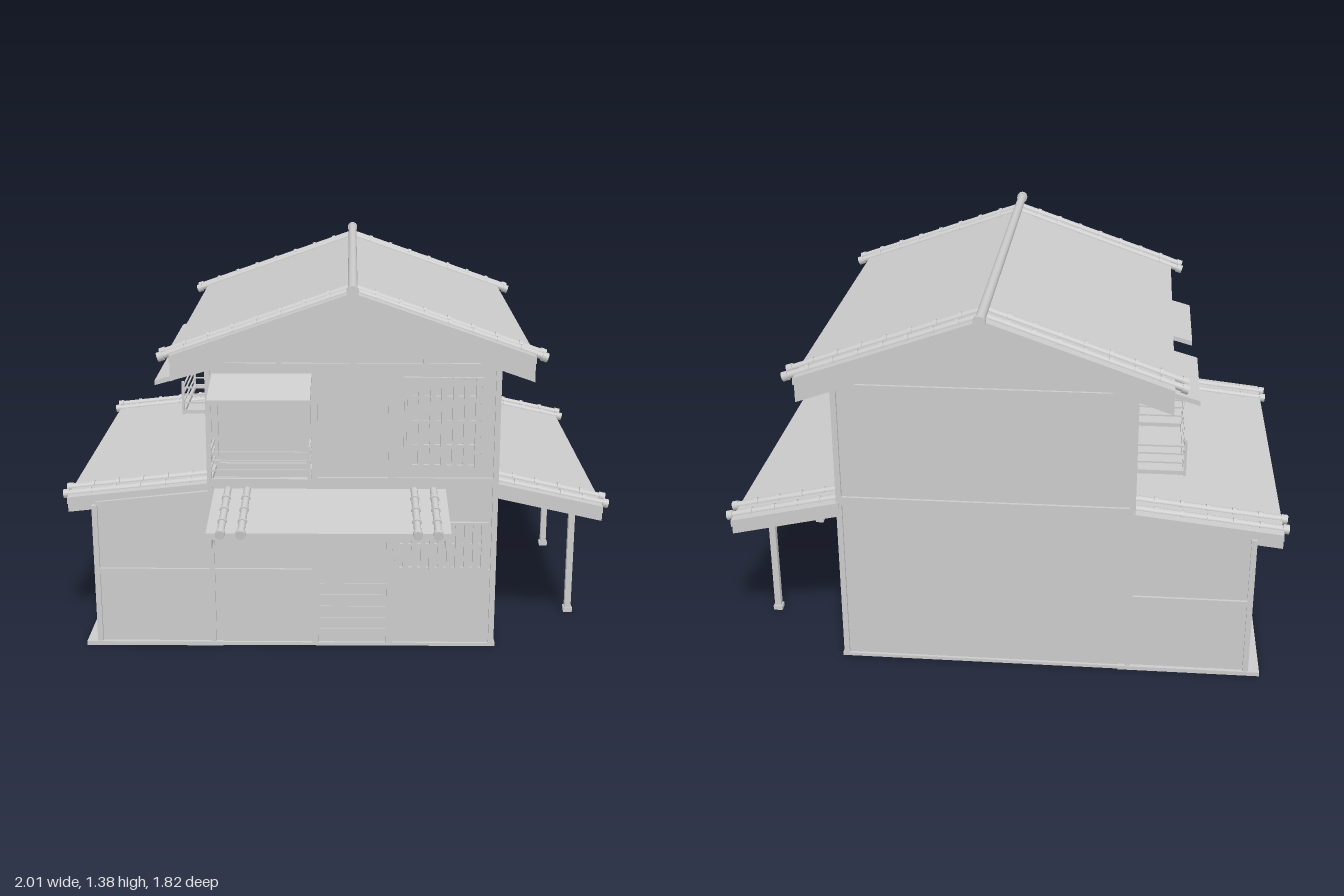
import * as THREE from 'three';

const mat = new THREE.MeshStandardMaterial({ color: 0xcccccc });

function add(parent, name, geo, x = 0, y = 0, z = 0) {
  const m = new THREE.Mesh(geo, mat);
  m.name = name;
  m.position.set(x, y, z);
  parent.add(m);
  return m;
}

// Box given by its min and max corners
function block(parent, name, x0, x1, y0, y1, z0, z1) {
  return add(parent, name, new THREE.BoxGeometry(x1 - x0, y1 - y0, z1 - z0),
    (x0 + x1) / 2, (y0 + y1) / 2, (z0 + z1) / 2);
}

// Outline in x/y extruded along z
function prism(parent, name, pts, z0, z1) {
  const shape = new THREE.Shape(pts.map(p => new THREE.Vector2(p[0], p[1])));
  return add(parent, name, new THREE.ExtrudeGeometry(shape, { depth: z1 - z0, bevelEnabled: false }), 0, 0, z0);
}

function slab(parent, name, run, drop, top, thick, z0, z1) {
  return prism(parent, name, [[0, top - thick], [run, top - thick - drop], [run, top - drop], [0, top]], z0, z1);
}

// Group turned so its local +z points out of a wall
function turned(parent, name, angle, x, y, z) {
  const g = new THREE.Group();
  g.name = name;
  g.rotation.y = angle;
  g.position.set(x, y, z);
  parent.add(g);
  return g;
}

// Roof pitch falling along local +x, with bargeboards and rows of round tiles
function roofPitch(parent, name, angle, pos, o) {
  const g = turned(parent, name, angle, ...pos);
  const { run, drop, width, rows, barge, inset = 0.015, over = 0.03, radius = 0.013 } = o;
  const h = width / 2;
  slab(g, 'roofSlab', run, drop, 0, 0.025, -h, h);
  for (const s of [-1, 1]) {
    const e = s * (h - inset), i = e - s * 0.02;
    slab(g, 'bargeboard', run, drop, -0.025, barge, Math.min(e, i), Math.max(e, i));
  }
  const slope = Math.atan2(drop, run);
  const length = (run + over) / Math.cos(slope);
  const n = Math.max(3, Math.round(length / 0.09));
  for (const z of rows) {
    const row = new THREE.Group();
    row.name = 'tileRow';
    row.position.z = z;
    row.rotation.z = -slope;
    g.add(row);
    add(row, 'roundTile', new THREE.CylinderGeometry(radius, radius, length, 12), length / 2).rotation.z = Math.PI / 2;
    for (let k = 1; k <= n; k++) {
      const w = k === n ? 0.022 : 0.012;
      add(row, 'tileCollar', new THREE.CylinderGeometry(radius + 0.004, radius + 0.004, w, 12),
        k * length / n - w / 2).rotation.z = Math.PI / 2;
    }
  }
  return g;
}

function frame(g, x0, x1, y0, y1, w = 0.015, d = 0.012) {
  block(g, 'frameSide', x0, x0 + w, y0, y1, 0, d);
  block(g, 'frameSide', x1 - w, x1, y0, y1, 0, d);
  block(g, 'frameBottom', x0, x1, y0, y0 + w, 0, d);
  block(g, 'frameTop', x0, x1, y1 - w, y1, 0, d);
}

function lattice(g, x0, x1, y0, y1, bars, rails) {
  frame(g, x0, x1, y0, y1, 0.01);
  const step = (x1 - x0) / bars;
  for (let i = 0; i < bars; i++) {
    const c = x0 + step * (i + 0.5);
    block(g, 'latticeBar', c - 0.01, c + 0.01, y0, y1, 0, 0.014);
  }
  for (const y of rails) block(g, 'latticeRail', x0, x1, y - 0.006, y + 0.006, 0, 0.009);
}

// Railing standing out from a wall
function balcony(g, x0, x1, depth) {
  for (const x of [x0, x1]) {
    block(g, 'railingPost', x - 0.005, x + 0.005, 0.69, 0.83, depth - 0.01, depth);
    for (const y of [0.805, 0.775, 0.74]) block(g, 'sideRail', x - 0.003, x + 0.003, y - 0.003, y + 0.003, 0, depth);
    block(g, 'sideBase', x - 0.006, x + 0.006, 0.695, 0.71, 0, depth);
  }
  for (const y of [0.805, 0.775, 0.74]) block(g, 'frontRail', x0, x1, y - 0.003, y + 0.003, depth - 0.008, depth - 0.002);
  block(g, 'frontBase', x0, x1, 0.695, 0.71, depth - 0.012, depth);
}

function awning(g, x0, x1, run, drop) {
  const a = turned(g, 'awning', -Math.PI / 2, (x0 + x1) / 2, 1.045, 0);
  slab(a, 'awningBoard', run, drop, 0, 0.018, -(x1 - x0) / 2, (x1 - x0) / 2);
}

export function createModel() {
  const house = new THREE.Group();
  house.name = 'house';

  // Main body with gables, and the lower side wing
  prism(house, 'mainBody', [[-0.45, 0], [0.58, 0], [0.58, 1.13], [0.06, 1.315], [-0.45, 1.135]], -0.79, 0.56);
  prism(house, 'sideWing', [[-0.88, 0], [-0.45, 0], [-0.45, 0.605], [-0.88, 0.56]], -0.79, 0.56);
  block(house, 'wingSill', -0.93, -0.42, 0, 0.015, -0.805, 0.575);
  block(house, 'mainSill', -0.46, 0.595, 0, 0.012, -0.8, 0.57);
  for (const z of [-0.79, 0.56]) {
    for (const x of [-0.455, 0.58]) block(house, 'cornerPost', x - 0.01, x + 0.01, 0, 1.1, z - 0.01, z + 0.01);
    block(house, 'wingPost', -0.89, -0.87, 0, 0.55, z - 0.01, z + 0.01);
  }

  // Main roof and ridge pole
  const main = { run: 0.64, drop: 0.224, width: 1.5, rows: [0.695, 0.63, -0.63, -0.7], barge: 0.07, inset: 0.02, over: 0.045 };
  roofPitch(house, 'mainRoofLeft', 0, [0.06, 1.35, -0.11], main);
  roofPitch(house, 'mainRoofRight', Math.PI, [0.06, 1.35, -0.11], main);
  add(house, 'ridgePole', new THREE.CylinderGeometry(0.017, 0.017, 1.6, 16), 0.06, 1.363, -0.11).rotation.x = Math.PI / 2;
  for (const z of [-0.9, 0.68])
    add(house, 'ridgeCap', new THREE.CylinderGeometry(0.021, 0.021, 0.025, 16), 0.06, 1.363, z).rotation.x = Math.PI / 2;

  // Lower roofs
  const sideRows = [0.63, 0.555, -0.555, -0.63];
  roofPitch(house, 'wingRoof', Math.PI, [-0.45, 0.635, -0.122],
    { run: 0.53, drop: 0.058, width: 1.36, rows: sideRows, barge: 0.035, over: 0.02 });
  roofPitch(house, 'porchRoof', 0, [0.58, 0.635, -0.127],
    { run: 0.395, drop: 0.088, width: 1.36, rows: sideRows, barge: 0.035, over: 0.025 });
  roofPitch(house, 'entranceRoof', -Math.PI / 2, [-0.02, 0.615, 0.56],
    { run: 0.33, drop: 0.05, width: 0.84, rows: [0.37, 0.3, -0.305, -0.375], barge: 0.035, inset: 0, over: 0.015 });

  // Porch posts
  for (const z of [0.235, -0.495]) {
    block(house, 'porchPost', 0.903, 0.927, 0, 0.53, z - 0.012, z + 0.012);
    block(house, 'postFoot', 0.898, 0.932, 0, 0.018, z - 0.017, z + 0.017);
  }

  // Front wall
  const front = turned(house, 'frontWall', 0, 0, 0, 0.56);
  block(front, 'floorBeam', -0.46, 0.59, 0.625, 0.66, 0, 0.01);
  block(front, 'gableBeam', -0.46, 0.59, 1.06, 1.085, 0, 0.01);
  block(front, 'kingPost', 0.05, 0.07, 1.085, 1.29, 0, 0.01);
  for (const x of [-0.2, 0.32]) block(front, 'gableStrut', x - 0.01, x + 0.01, 1.085, 1.2, 0, 0.01);
  for (const x of [-0.075, 0.2]) {
    block(front, 'doorPost', x - 0.012, x + 0.012, 0, 0.6, 0, 0.01);
    block(front, 'upperPost', x - 0.01, x + 0.01, 0.66, 1.06, 0, 0.01);
  }
  for (let i = 0; i < 5; i++) block(front, 'doorSlat', -0.06, 0.19, 0.06 + i * 0.045, 0.066 + i * 0.045, 0, 0.004);
  block(front, 'midRail', -0.89, -0.085, 0.283, 0.305, 0, 0.01);
  block(front, 'midRail', 0.21, 0.59, 0.283, 0.305, 0, 0.01);
  block(front, 'doorLintel', -0.45, 0.21, 0.49, 0.51, 0, 0.01);
  lattice(front, 0.21, 0.56, 0.305, 0.49, 11, [0.4]);
  lattice(front, 0.245, 0.53, 0.7, 1.035, 7, [0.78, 0.87, 0.96]);
  frame(front, -0.435, -0.09, 0.7, 1.03);
  awning(front, -0.44, -0.085, 0.2, 0.045);
  balcony(front, -0.435, -0.09, 0.178);

  // Right-hand wall with the wide doorway
  const porch = turned(house, 'porchWall', Math.PI / 2, 0.58, 0, 0);
  block(porch, 'floorBeam', -0.57, 0.8, 0.635, 0.66, 0, 0.01);
  block(porch, 'topBeam', -0.57, 0.8, 1.07, 1.1, 0, 0.01);
  block(porch, 'porchBeam', -0.57, 0.8, 0.505, 0.53, 0, 0.01);
  frame(porch, -0.22, 0.47, 0, 0.505, 0.035, 0.012);
  for (const [x0, x1] of [[-0.46, -0.1], [0.33, 0.69]]) {
    lattice(porch, x0 + 0.01, x1 - 0.01, 0.7, 1.03, 7, [0.83, 0.9]);
    for (const x of [x0, x1]) block(porch, 'windowPost', x - 0.008, x + 0.008, 0.66, 1.07, 0, 0.01);
    for (const y of [0.69, 1.04]) block(porch, 'windowRail', x0, x1, y - 0.008, y + 0.008, 0, 0.01);
  }

  // Upper wall over the wing, with awnings and a balcony
  const upper = turned(house, 'upperWingWall', -Math.PI / 2, -0.45, 0, 0);
  block(upper, 'topBeam', -0.8, 0.57, 1.07, 1.1, 0, 0.01);
  block(upper, 'floorBeam', -0.8, 0.57, 0.635, 0.665, 0, 0.01);
  frame(upper, -0.58, -0.175, 0.7, 1.03);
  frame(upper, 0.005, 0.415, 0.7, 1.03);
  awning(upper, -0.59, -0.165, 0.228, 0.065);
  awning(upper, -0.005, 0.425, 0.213, 0.06);
  balcony(upper, -0.59, -0.17, 0.19);

  // Wing side wall divided into panels
  const wing = turned(house, 'wingWall', -Math.PI / 2, -0.88, 0, 0);
  for (const y of [0.03, 0.29, 0.42, 0.52]) block(wing, 'wingRail', -0.79, 0.56, y - 0.01, y + 0.01, 0, 0.01);
  for (let i = 1; i < 7; i++) {
    const x = -0.79 + i * 1.35 / 7;
    block(wing, 'wingMullion', x - 0.01, x + 0.01, 0.015, 0.53, 0, 0.01);
  }

  // Back wall
  const back = turned(house, 'backWall', Math.PI, 0, 0, -0.79);
  block(back, 'floorBeam', -0.59, 0.46, 0.625, 0.655, 0, 0.01);
  block(back, 'gableBeam', -0.59, 0.46, 1.06, 1.085, 0, 0.01);
  block(back, 'wingMidRail', 0.46, 0.89, 0.283, 0.305, 0, 0.01);

  return house;
}
